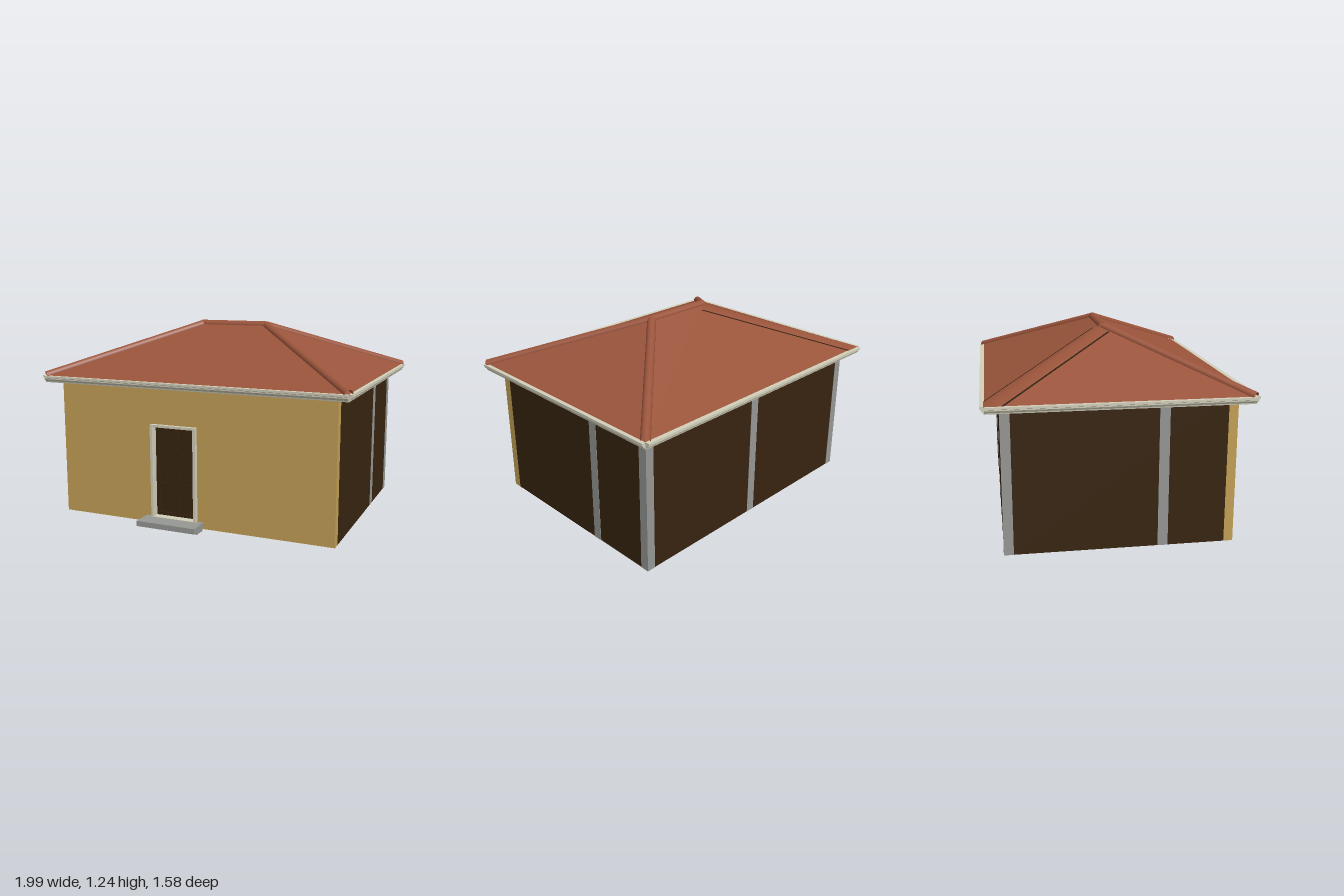
import * as THREE from 'three';

const mat = (name, color, side = THREE.FrontSide) => {
  const m = new THREE.MeshStandardMaterial({ color, side });
  m.name = name;
  return m;
};

export function createModel() {
  const ochre = mat('ochrePlaster', 0xc4a056);
  const brown = mat('darkBrown', 0x38240f);
  const grey = mat('concreteGrey', 0x969894);
  const cream = mat('creamTrim', 0xd2cfba);
  const tile = mat('roofTile', 0x9a543b, THREE.DoubleSide);
  const slit = mat('roofSlit', 0x2e1f0e, THREE.DoubleSide);

  const house = new THREE.Group();
  house.name = 'house';
  const add = (name, geo, material) => {
    const mesh = new THREE.Mesh(geo, material);
    mesh.name = name;
    house.add(mesh);
    return mesh;
  };
  // box given by its limits on each axis
  const box = (name, material, x0, x1, y0, y1, z0, z1) => {
    const mesh = add(name, new THREE.BoxGeometry(x1 - x0, y1 - y0, z1 - z0), material);
    mesh.position.set((x0 + x1) / 2, (y0 + y1) / 2, (z0 + z1) / 2);
    return mesh;
  };
  const rectPoints = (x0, x1, y0, y1) => [
    new THREE.Vector2(x0, y0), new THREE.Vector2(x1, y0),
    new THREE.Vector2(x1, y1), new THREE.Vector2(x0, y1)];
  // upright slab with a rectangular opening
  const framed = (name, material, outer, inner, z0, z1) => {
    const shape = new THREE.Shape(rectPoints(...outer));
    shape.holes.push(new THREE.Path(rectPoints(...inner).reverse()));
    const geo = new THREE.ExtrudeGeometry(shape, { depth: z1 - z0, bevelEnabled: false });
    add(name, geo.translate(0, 0, z0), material);
  };

  // Walls, open at the bottom
  framed('frontWall', ochre, [-0.9, 0.9, 0.015, 0.9], [-0.257, 0.032, 0.055, 0.632], 0.605, 0.66);
  box('backWall', brown, -0.9, 0.9, 0.015, 0.9, -0.685, -0.63);
  for (const s of [-1, 1]) {
    const wall = s > 0 ? 'left' : 'right';
    box(wall + 'Wall', brown, s * 0.8725 - 0.0275, s * 0.8725 + 0.0275, 0.015, 0.9, -0.63, 0.605);
    // Posts and beam lie just proud of the wall
    const x0 = s > 0 ? 0.89 : -0.902, x1 = x0 + 0.012;
    const zPost = s > 0 ? -0.235 : 0.235;
    box(wall + 'MiddlePost', grey, x0, x1, 0.015, 0.87, zPost - 0.03, zPost + 0.03);
    box(wall + 'Beam', grey, x0, x1, 0.865, 0.9, -0.685, 0.605);
    const c = s * 0.8745;
    box(wall + 'CornerPost', grey, c - 0.0275, c + 0.0275, 0.015, 0.9, -0.687, -0.63);
  }
  box('backMiddlePost', grey, -0.03, 0.03, 0.015, 0.87, -0.687, -0.675);
  box('backBeam', grey, -0.9, 0.9, 0.865, 0.9, -0.687, -0.675);

  // Door with raised stiles and rails
  framed('doorFrame', cream, [-0.265, 0.04, 0.05, 0.64], [-0.25, 0.022, 0.06, 0.625], 0.603, 0.685);
  box('door', brown, -0.25, 0.022, 0.06, 0.625, 0.606, 0.628);
  for (const [x0, x1] of [[-0.25, -0.228], [-0.132, -0.096], [0, 0.022]])
    box('doorStile', brown, x0, x1, 0.06, 0.625, 0.626, 0.636);
  for (const [y0, y1] of [[0.06, 0.08], [0.235, 0.27], [0.42, 0.455], [0.605, 0.625]])
    box('doorRail', brown, -0.25, 0.022, y0, y1, 0.626, 0.635);
  box('doorHandle', brown, 0.002, 0.01, 0.28, 0.32, 0.634, 0.65);

  // Entrance steps
  box('lowerStep', grey, -0.295, 0.07, 0, 0.025, 0.65, 0.73);
  box('upperStep', grey, -0.31, 0.08, 0.023, 0.056, 0.65, 0.79);

  // Eaves
  const zc = -0.015;
  box('soffit', brown, -0.965, 0.965, 0.898, 0.904, zc - 0.745, zc + 0.745);
  const gutterProfile = new THREE.Shape([
    [0, 0.868], [0.011, 0.868], [0.013, 0.876], [0.019, 0.88], [0.024, 0.888],
    [0.024, 0.894], [0.031, 0.897], [0.031, 0.909], [0, 0.909],
  ].map(([x, y]) => new THREE.Vector2(x, y)));
  const gutter = (name, length, angle, x, z) => {
    const geo = new THREE.ExtrudeGeometry(gutterProfile, { depth: length, bevelEnabled: false });
    const mesh = add(name, geo.translate(0, 0, -length / 2), cream);
    mesh.rotation.y = angle;
    mesh.position.set(x, 0, z);
  };
  gutter('leftGutter', 1.5, 0, 0.966, zc);
  gutter('rightGutter', 1.5, Math.PI, -0.966, zc);
  gutter('frontGutter', 1.946, -Math.PI / 2, 0, zc + 0.744);
  gutter('backGutter', 1.946, Math.PI / 2, 0, zc - 0.744);

  // Hipped roof
  const ex = 0.98, ez = 0.755, ey = 0.906, rx = 0.225, ry = 1.211;
  const slope = (ry - ey) / ez;
  const height = (x, z) =>
    ey + slope * Math.min(ex - Math.abs(x), ez - Math.abs(z - zc));
  const surface = (points, index) => {
    const geo = new THREE.BufferGeometry();
    geo.setAttribute('position', new THREE.Float32BufferAttribute(points.flat(), 3));
    geo.setIndex(index);
    geo.computeVertexNormals();
    return geo;
  };
  const corner = (sx, sz) => [sx * ex, ey, zc + sz * ez];
  const ridgeL = [rx, ry, zc], ridgeR = [-rx, ry, zc];
  const quad = [0, 1, 2, 0, 2, 3];
  add('frontRoof', surface([corner(-1, 1), corner(1, 1), ridgeL, ridgeR], quad), tile);
  add('backRoof', surface([corner(1, -1), corner(-1, -1), ridgeR, ridgeL], quad), tile);
  add('leftRoof', surface([corner(1, 1), corner(1, -1), ridgeL], [0, 1, 2]), tile);
  add('rightRoof', surface([corner(-1, -1), corner(-1, 1), ridgeR], [0, 1, 2]), tile);

  // Half-round caps along three hips and the ridge
  const cap = (name, from, to) => {
    const a = new THREE.Vector3(...from), b = new THREE.Vector3(...to);
    const dir = b.clone().sub(a), length = dir.length();
    dir.normalize();
    const side = dir.clone().cross(new THREE.Vector3(0, 1, 0)).normalize();
    const up = side.clone().cross(dir);
    const geo = new THREE.CylinderGeometry(0.028, 0.028, length, 12, 1, true, -Math.PI / 2, Math.PI);
    geo.applyMatrix4(new THREE.Matrix4().makeBasis(side, dir, up));
    add(name, geo, tile).position.copy(a.add(b).multiplyScalar(0.5));
  };
  const capY = 1.207;
  for (const [sx, sz] of [[1, 1], [-1, 1], [1, -1]])
    cap('hipCap', [sx * 0.972, 0.907, zc + sz * 0.747], [sx * rx, capY, zc]);
  cap('ridgeCap', [-rx - 0.01, capY, zc], [rx + 0.01, capY, zc]);

  // Uncapped hip: a smooth flush strip between two dark slits
  const on = (x, z, lift) => [x, height(x, z) + lift, z];
  add('flushHip', surface([
    on(-0.98, -0.66, 0.002), on(-0.98, -0.77, 0.002), on(-0.87, -0.77, 0.002),
    on(-0.305, 0.015, 0.002), on(-0.225, -0.015, 0.002), on(-0.17, -0.07, 0.002),
  ], [0, 3, 4, 0, 4, 1, 1, 4, 5, 1, 5, 2]), tile);
  const slitStrip = (x0, z0, x1, z1, dx, dz) => add('hipSlit', surface([
    on(x0, z0, 0.004), on(x1, z1, 0.004),
    on(x1 + dx, z1 + dz, 0.004), on(x0 + dx, z0 + dz, 0.004),
  ], quad), slit);
  slitStrip(-0.978, -0.675, -0.298, 0.005, 0, 0.016);
  slitStrip(-0.875, -0.768, -0.178, -0.071, 0.016, 0);

  return house;
}
